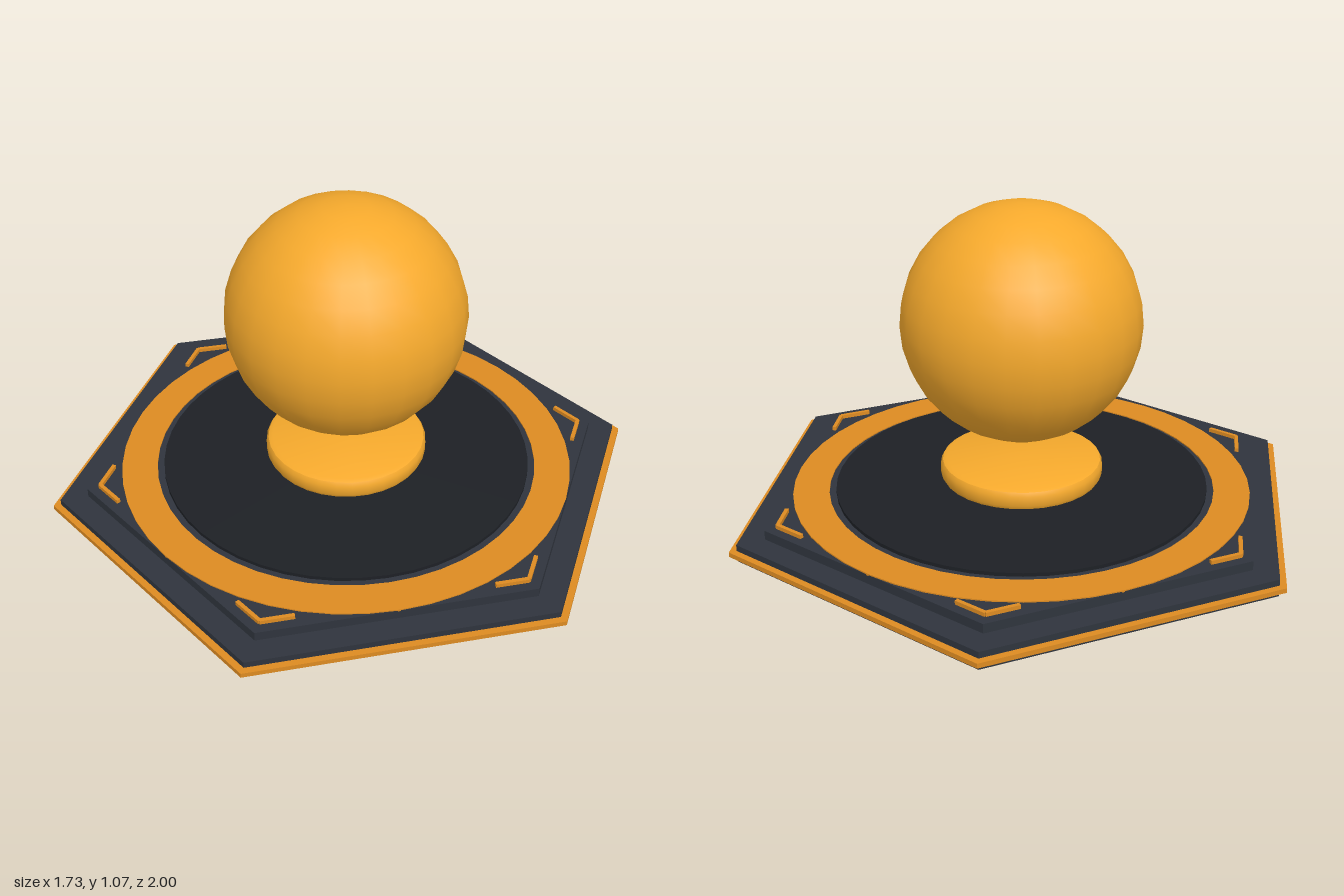
import * as THREE from 'three';
import { toCreasedNormals } from 'three/addons/utils/BufferGeometryUtils.js';

const mat = (color, flatShading = false) => new THREE.MeshStandardMaterial({ color, flatShading });
const slate = mat(0x2f343d, true);
const black = mat(0x1d2025);
const orange = mat(0xdd8b22, true);
const amber = mat(0xf5a92c);

export function createModel() {
  const model = new THREE.Group();

  function add(name, geometry, material, parent = model) {
    const mesh = new THREE.Mesh(geometry, material);
    mesh.name = name;
    parent.add(mesh);
    return mesh;
  }

  // Upright prism between two heights; six sides put corners on +z and -z
  function prism(name, radius, y0, y1, material, sides = 6) {
    const g = new THREE.CylinderGeometry(radius, radius, y1 - y0, sides);
    g.translate(0, (y0 + y1) / 2, 0);
    return add(name, sides > 6 ? toCreasedNormals(g, 0.6) : g, material);
  }

  // Flat ring with thickness, lying on y0
  function ring(name, inner, outer, y0, y1, material) {
    const corners = [[inner, y0], [outer, y0], [outer, y1], [inner, y1], [inner, y0]];
    const g = new THREE.LatheGeometry(corners.map(([x, y]) => new THREE.Vector2(x, y)), 48);
    return add(name, toCreasedNormals(g, 0.6), material);
  }

  // Stepped hexagonal platform
  prism('bottomPlate', 0.96, 0.001, 0.01, orange);
  prism('baseTier', 0.975, 0.004, 0.062, slate);
  prism('edgeBand', 1.0, 0.025, 0.041, orange);
  prism('upperTier', 0.883, 0.06, 0.093, slate);
  ring('undersideRing', 0.54, 0.556, 0, 0.004, slate);

  // Round inlays on the top face
  ring('topRing', 0.645, 0.765, 0.09, 0.097, orange);
  prism('centreDisc', 0.622, 0.09, 0.105, black, 48);

  // Two-bar chevron marker inside each hexagon corner
  for (let i = 0; i < 6; i++) {
    const chevron = new THREE.Group();
    chevron.name = 'cornerChevron';
    chevron.rotation.y = (i * Math.PI) / 3;
    for (const side of [-1, 1]) {
      const bar = add('chevronBar', new THREE.BoxGeometry(0.108, 0.014, 0.013), orange, chevron);
      bar.position.set(side * 0.046, 0.099, 0.813);
      bar.rotation.y = side * Math.PI / 6;
    }
    model.add(chevron);
  }

  // Floating puck with softened rims
  const profile = [
    [0, 0.12], [0.25, 0.12], [0.264, 0.126], [0.271, 0.139],
    [0.271, 0.172], [0.264, 0.185], [0.25, 0.191], [0, 0.191],
  ].map(([x, y]) => new THREE.Vector2(x, y));
  add('floatingPuck', toCreasedNormals(new THREE.LatheGeometry(profile, 32), 0.6), amber);

  // Hovering ball
  add('ball', new THREE.SphereGeometry(0.394, 24, 16), amber).position.y = 0.673;

  return model;
}
